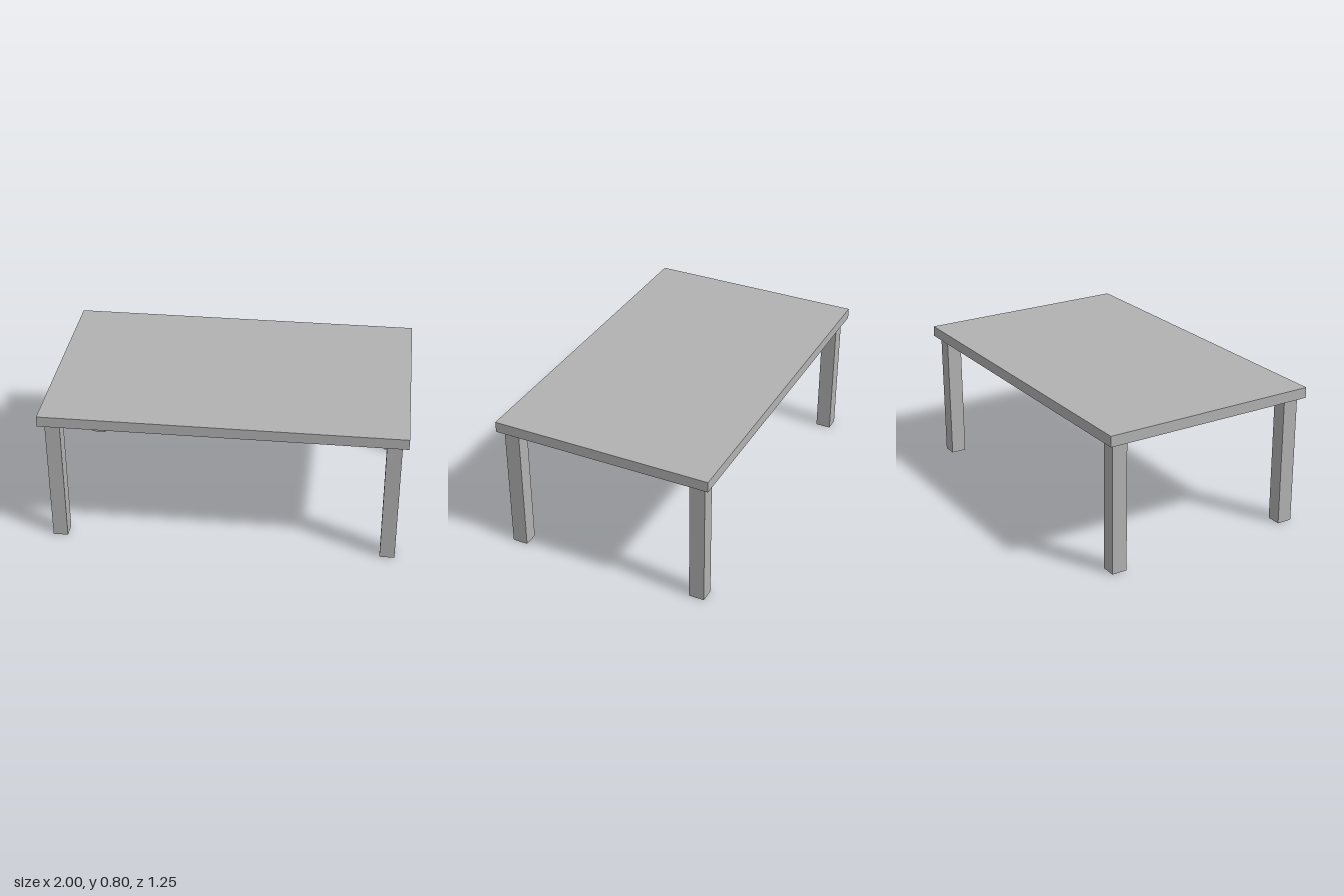
import * as THREE from 'three';

export function createModel() {
  const table = new THREE.Group();
  table.name = 'table';
  const grey = new THREE.MeshStandardMaterial({ color: 0xb2b2b2 });
  grey.name = 'grey';

  const addBox = (name, [w, h, d], [x, y, z]) => {
    const mesh = new THREE.Mesh(new THREE.BoxGeometry(w, h, d), grey);
    mesh.name = name;
    mesh.position.set(x, y, z);
    table.add(mesh);
  };

  // Flat slab top
  const height = 0.8, thickness = 0.06;
  addBox('tableTop', [2, thickness, 1.246], [0, height - thickness / 2, 0]);

  // Four square legs, set in slightly from the corners
  const legHeight = height - thickness;
  for (const [xSide, sx] of [['Left', 1], ['Right', -1]]) {
    for (const [zSide, sz] of [['front', 1], ['back', -1]]) {
      addBox(`${zSide}${xSide}Leg`, [0.083, legHeight, 0.087], [sx * 0.925, legHeight / 2, sz * 0.548]);
    }
  }
  return table;
}
